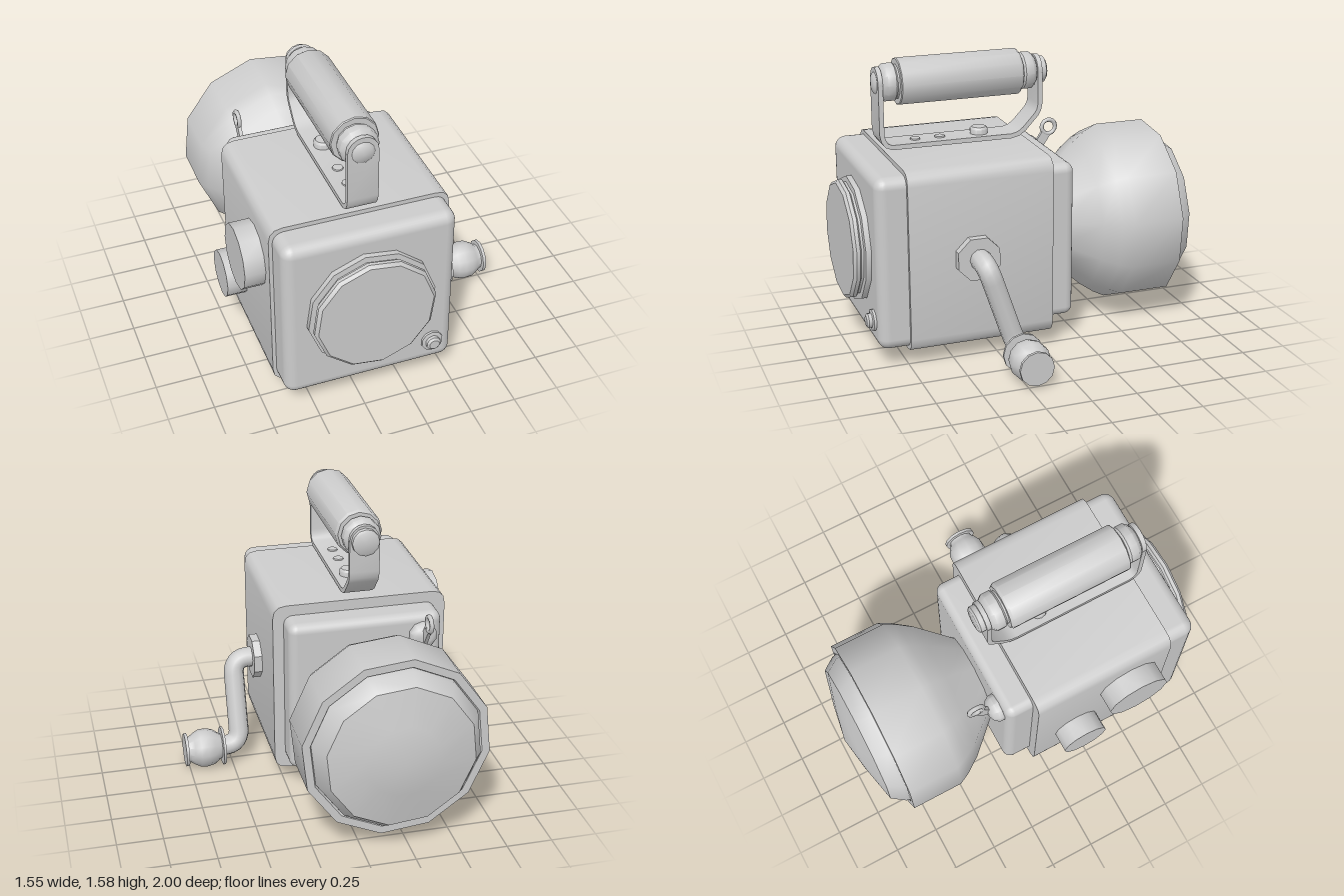
import * as THREE from 'three';
import { toCreasedNormals } from 'three/addons/utils/BufferGeometryUtils.js';
import { RoundedBoxGeometry } from 'three/addons/geometries/RoundedBoxGeometry.js';

const CX = -0.185; // middle of the housing
const rad = THREE.MathUtils.degToRad;
const material = new THREE.MeshStandardMaterial({ color: 0xcccccc });

export function createModel() {
  const model = new THREE.Group();
  model.name = 'handLamp';

  function add(name, geometry, x = 0, y = 0, z = 0, crease = 0.7) {
    const mesh = new THREE.Mesh(crease ? toCreasedNormals(geometry, crease) : geometry, material);
    mesh.name = name;
    mesh.position.set(x, y, z);
    model.add(mesh);
    return mesh;
  }

  // Turned part: profile of [radius, distance along the axis]
  function turned(name, profile, axis, [x, y, z], sides = 12, spin = 0) {
    const geo = new THREE.LatheGeometry(profile.map(p => new THREE.Vector2(...p)), sides, rad(spin));
    if (axis === '+z') geo.rotateX(Math.PI / 2);
    if (axis === '-z') geo.rotateX(-Math.PI / 2);
    if (axis === '+x') geo.rotateZ(-Math.PI / 2);
    if (axis === '-x') geo.rotateZ(Math.PI / 2);
    return add(name, geo, x, y, z);
  }

  // Polyline with rounded corners
  function roundedPath(points, radius) {
    const path = new THREE.CurvePath();
    let from = points[0];
    for (let i = 1; i < points.length - 1; i++) {
      const p = points[i];
      const before = p.clone().add(points[i - 1].clone().sub(p).setLength(radius));
      const after = p.clone().add(points[i + 1].clone().sub(p).setLength(radius));
      path.add(new THREE.LineCurve3(from, before));
      path.add(new THREE.QuadraticBezierCurve3(before, p, after));
      from = after;
    }
    path.add(new THREE.LineCurve3(from, points[points.length - 1]));
    return path;
  }

  // Housing: straight-sided block with rounded long edges
  const w = 0.485, h = 0.5, r = 0.075;
  const outline = new THREE.Shape();
  outline.moveTo(-w + r, -h);
  outline.lineTo(w - r, -h).quadraticCurveTo(w, -h, w, -h + r);
  outline.lineTo(w, h - r).quadraticCurveTo(w, h, w - r, h);
  outline.lineTo(-w + r, h).quadraticCurveTo(-w, h, -w, h - r);
  outline.lineTo(-w, -h + r).quadraticCurveTo(-w, -h, -w + r, -h);
  add('housing', new THREE.ExtrudeGeometry(outline, { depth: 0.805, bevelEnabled: false, curveSegments: 3 }), CX, 0.58, -0.06);

  // Front and rear covers
  add('frontCover', new RoundedBoxGeometry(0.93, 0.955, 0.36, 3, 0.06), CX, 0.578, 0.73, 0);
  add('rearCover', new RoundedBoxGeometry(0.85, 0.88, 0.36, 3, 0.05), CX, 0.58, -0.03, 0);

  // Round front lid with its flange
  turned('frontLid', [[0.347, -0.02], [0.347, 0.03], [0.315, 0.032], [0.315, 0.045], [0.332, 0.055],
    [0.332, 0.075], [0.315, 0.09], [0, 0.09]], '+z', [-0.19, 0.593, 0.91], 12, 7);
  turned('frontButton', [[0.06, -0.02], [0.06, 0.018], [0.04, 0.022], [0.04, 0.04], [0.028, 0.05], [0, 0.05]],
    '+z', [0.16, 0.245, 0.905], 10);

  // Side knobs
  for (const [radius, y, z] of [[0.177, 0.773, 0.508], [0.132, 0.42, 0.2]])
    turned('sideKnob', [[radius, -0.02], [radius, 0.112], [0, 0.112]], '-x', [-0.668, y, z], 12);

  // Lamp head with rim, and domed lens
  turned('lampHead', [[0.235, -0.02], [0.255, 0.01], [0.415, 0.18], [0.475, 0.265], [0.508, 0.33], [0.508, 0.62],
    [0.465, 0.62], [0.45, 0.59]], '-z', [CX, 0.575, -0.21], 12, -9);
  turned('lens', [[0.46, 0.59], [0.45, 0.64], [0.4, 0.712], [0.2, 0.757], [0, 0.79]], '-z', [CX, 0.575, -0.21], 12, -9);

  // Turn key on the rear cover
  turned('keyBase', [[0.077, -0.01], [0.077, 0.025], [0.06, 0.05], [0.03, 0.065], [0, 0.065]], '-z', [-0.498, 0.9, -0.21], 10);
  const ring = new THREE.TorusGeometry(0.042, 0.013, 6, 14);
  ring.rotateY(Math.PI / 2);
  add('keyRing', ring, -0.495, 1.02, -0.34, 0);
  const stem = add('keyStem', new THREE.BoxGeometry(0.02, 0.13, 0.055), -0.495, 0.935, -0.29);
  stem.rotation.x = -0.6;

  // Handle strap: centre line in z and y, thickened and extruded across x
  const line = [[0.765, 1.45], [0.765, 1.18], [0.757, 1.145], [0.74, 1.12], [0.71, 1.107], [0.03, 1.105], [-0.01, 1.115],
    [-0.045, 1.14], [-0.115, 1.215], [-0.13, 1.24], [-0.137, 1.275], [-0.137, 1.45]].map(p => new THREE.Vector2(...p));
  const side = offset => line.map((p, i) => {
    const t = line[Math.min(i + 1, line.length - 1)].clone().sub(line[Math.max(i - 1, 0)]).normalize();
    return new THREE.Vector2(p.x - t.y * offset, p.y + t.x * offset);
  });
  const strap = new THREE.ExtrudeGeometry(new THREE.Shape([...side(0.013), ...side(-0.013).reverse()]),
    { depth: 0.165, bevelEnabled: false });
  strap.rotateY(-Math.PI / 2);
  add('handleStrap', strap, -0.1025, 0, 0);
  // Rounded strap ends and their end caps
  for (const z of [0.765, -0.137])
    turned('strapEnd', [[0, -0.013], [0.0825, -0.013], [0.0825, 0.013], [0, 0.013]], '+z', [CX, 1.455, z], 16);
  turned('frontCap', [[0.062, 0], [0.062, 0.015], [0.045, 0.028], [0, 0.035]], '+z', [CX, 1.45, 0.762], 12);
  turned('rearCap', [[0.075, 0], [0.075, 0.04], [0.06, 0.05], [0, 0.05]], '-z', [CX, 1.45, -0.137], 12);
  // Grip and collars
  turned('grip', [[0, -0.03], [0.118, -0.03], [0.13, -0.015], [0.13, 0.655], [0.125, 0.66], [0, 0.66]], '+z', [CX, 1.45, 0], 12);
  for (const [axis, z] of [['+z', 0.655], ['-z', -0.025]])
    turned('gripCollar', [[0.095, 0], [0.095, 0.015], [0.105, 0.025], [0.105, 0.07], [0.088, 0.09], [0.07, 0.1]],
      axis, [CX, 1.45, z], 12);

  // Bolt and rivets on the strap
  turned('strapBolt', [[0.05, -0.02], [0.05, 0.03], [0.04, 0.042], [0, 0.042]], '+y', [CX, 1.115, 0.195], 12);
  for (const z of [0.42, 0.56])
    turned('strapRivet', [[0.032, -0.01], [0.028, 0.01], [0, 0.014]], '+y', [CX, 1.117, z], 10);

  // Crank: hub, bent arm and turned knob
  turned('crankHub', [[0.125, -0.02], [0.125, 0.045], [0, 0.045]], '+x', [0.3, 0.583, 0.375], 8, 22.5);
  const arm = roundedPath([[0.32, 0.583, 0.37], [0.452, 0.583, 0.37], [0.452, 0.11, 0.21], [0.58, 0.11, 0.21]]
    .map(p => new THREE.Vector3(...p)), 0.09);
  add('crankArm', new THREE.TubeGeometry(arm, 36, 0.058, 10), 0, 0, 0, 0);
  turned('crankKnob', [[0, 0], [0.11, 0], [0.11, 0.014], [0.07, 0.016], [0.075, 0.025], [0.1, 0.06], [0.11, 0.1], [0.108, 0.14],
    [0.09, 0.175], [0.072, 0.2], [0.072, 0.208], [0.095, 0.21], [0.095, 0.227], [0, 0.227]], '+x', [0.547, 0.11, 0.21], 12);

  return model;
}
